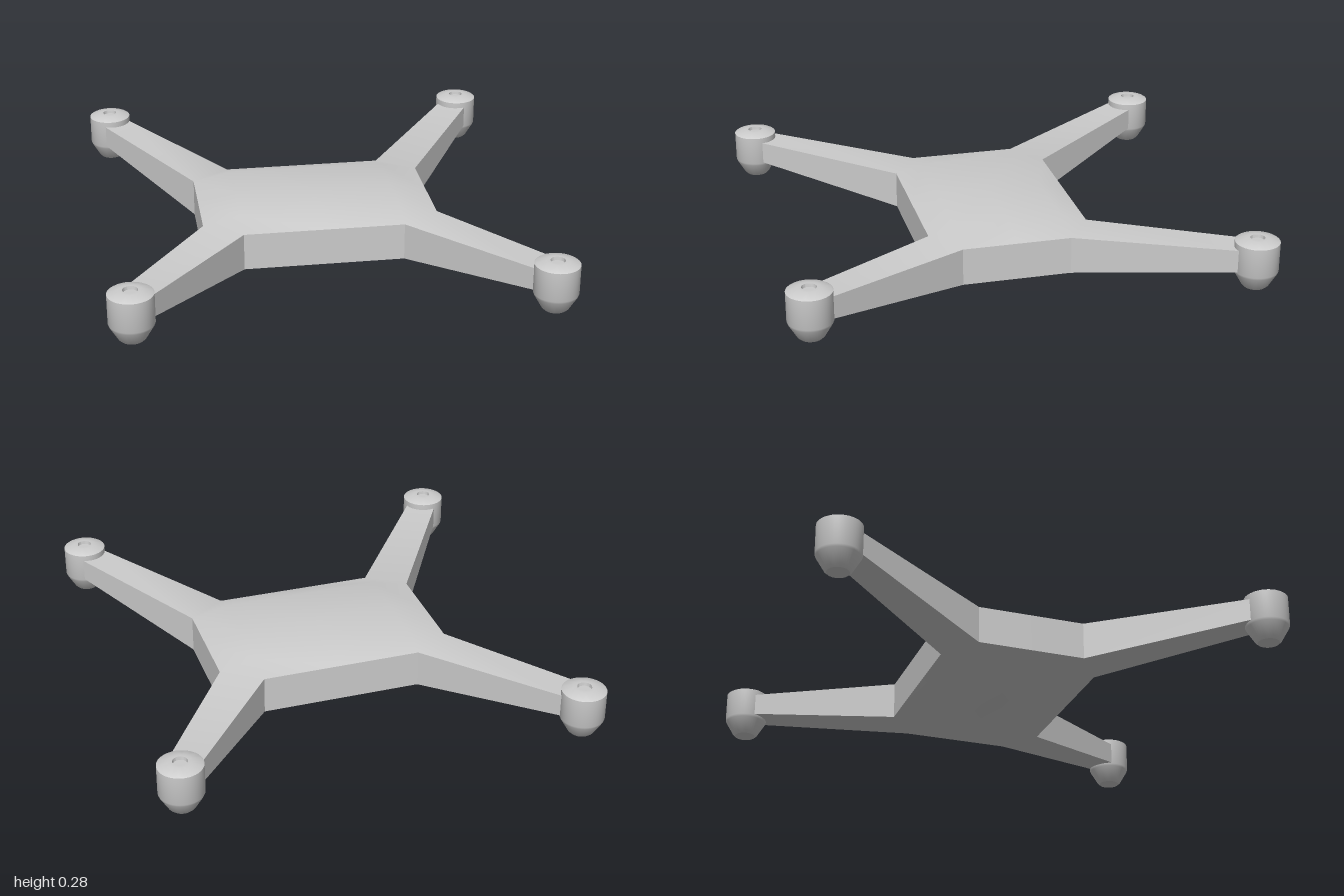
import * as THREE from 'three';
import { toCreasedNormals } from 'three/addons/utils/BufferGeometryUtils.js';

const material = new THREE.MeshStandardMaterial({ color: 0xcccccc });

// Plan points of one quadrant: x, z, underside height, top height
const plan = {
  O: [0, 0, 0, 0.235], A: [0.34, 0, 0, 0.235],
  B: [0, 0.23, 0, 0.235], C: [0.34, 0.23, 0, 0.235],
  D: [0.5, 0, 0.04, 0.2], E: [0.5, 0.23, 0.04, 0.2],
  F: [0, 0.34, 0.04, 0.2], G: [0.34, 0.34, 0.04, 0.2],
  H: [0.88, 0.85, 0.15, 0.242], I: [0.77, 0.917, 0.15, 0.242],
};

// Hub and four tapering arms as one shell, mirrored from a quadrant
function frameGeometry() {
  const positions = [];
  for (const sx of [1, -1]) for (const sz of [1, -1]) {
    const addFace = (corners) => {
      const ring = sx * sz > 0 ? corners : [...corners].reverse();
      for (let i = 1; i < ring.length - 1; i++) {
        for (const [x, y, z] of [ring[0], ring[i], ring[i + 1]]) positions.push(x * sx, y, z * sz);
      }
    };
    const low = (k) => [plan[k][0], plan[k][2], plan[k][1]];
    const high = (k) => [plan[k][0], plan[k][3], plan[k][1]];

    // Top and underside panels
    for (const face of ['OBCA', 'ACED', 'BFGC', 'CGE', 'EGIH']) {
      const keys = [...face];
      addFace(keys.map(high));
      addFace(keys.map(low).reverse());
    }
    // Side walls
    const rim = [...'FGIHED'];
    for (let i = 0; i < rim.length - 1; i++) {
      const a = rim[i], b = rim[i + 1];
      addFace([low(a), low(b), high(b), high(a)]);
    }
  }
  const geometry = new THREE.BufferGeometry();
  geometry.setAttribute('position', new THREE.Float32BufferAttribute(positions, 3));
  return toCreasedNormals(geometry, 0.48);
}

// Motor pod: tapered base, straight wall, shallow cap with a small recess
function motorGeometry() {
  const profile = [
    [0, 0.065], [0.045, 0.065], [0.056, 0.075], [0.088, 0.13], [0.092, 0.14],
    [0.092, 0.264], [0.086, 0.268], [0.045, 0.279], [0.03, 0.279], [0.028, 0.265], [0, 0.265],
  ].map(([r, y]) => new THREE.Vector2(r, y));
  return toCreasedNormals(new THREE.LatheGeometry(profile, 40), 0.5);
}

export function createModel() {
  const model = new THREE.Group();
  model.name = 'quadcopterFrame';

  const frame = new THREE.Mesh(frameGeometry(), material);
  frame.name = 'hubAndArms';
  model.add(frame);

  const motor = motorGeometry();
  for (const [sx, side] of [[1, 'Left'], [-1, 'Right']]) {
    for (const [sz, end] of [[1, 'front'], [-1, 'back']]) {
      const pod = new THREE.Mesh(motor, material);
      pod.name = `${end}${side}Motor`;
      pod.position.set(sx * 0.837, 0, sz * 0.908);
      model.add(pod);
    }
  }
  return model;
}
